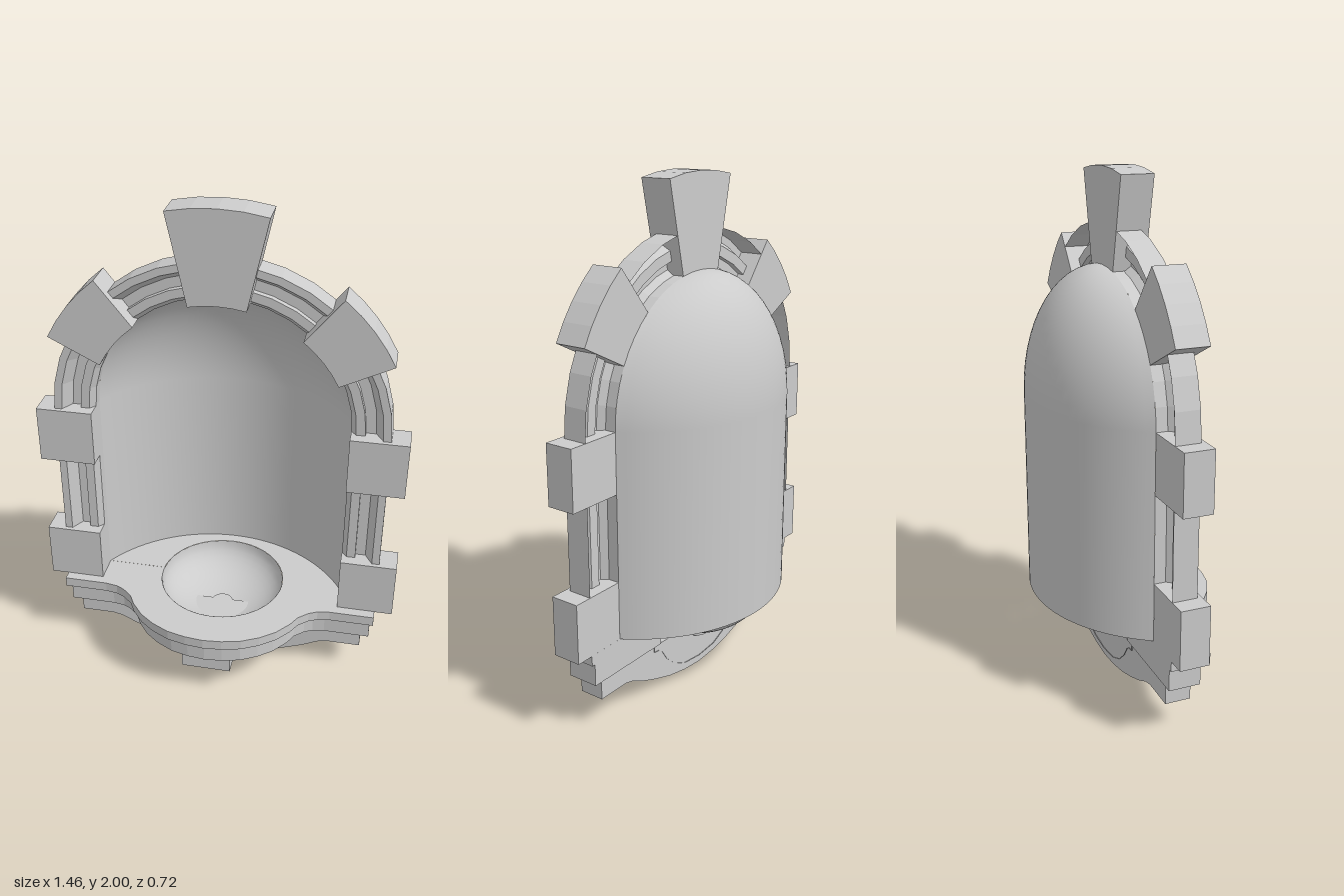
import * as THREE from 'three';

const grey = new THREE.MeshStandardMaterial({ color: 0xcccccc, side: THREE.DoubleSide });
const flat = new THREE.MeshStandardMaterial({ color: 0xcccccc, side: THREE.DoubleSide, flatShading: true });

const SPRING = 1.137, SILL = 0.33, R = 0.505, BACK = -0.065, BOWL_Z = -0.05, BOWL_R = 0.26;

// Surface through rows x cols points given by a function of indices
function gridSurface(rows, cols, point) {
  const pos = [], idx = [];
  for (let i = 0; i < rows; i++) for (let j = 0; j < cols; j++) pos.push(...point(i, j));
  for (let i = 0; i < rows - 1; i++) for (let j = 0; j < cols - 1; j++) {
    const a = i * cols + j, b = a + cols;
    idx.push(a, a + 1, b, b, a + 1, b + 1);
  }
  const g = new THREE.BufferGeometry();
  g.setAttribute('position', new THREE.Float32BufferAttribute(pos, 3));
  g.setIndex(idx);
  g.computeVertexNormals();
  return g;
}

// Shallow circular plan of the niche, u from -1 to 1, scaled by k
function nichePlan(u, k = 1) {
  const a = u * 1.042;
  return [k * 0.585 * Math.sin(a), BACK - k * (0.585 * Math.cos(a) - 0.295)];
}

function extrude(shape, depth) {
  return new THREE.ExtrudeGeometry(shape, { depth, bevelEnabled: false, curveSegments: 24 });
}

// Wedge stone of the arch between two angles measured from +x
function wedge(a0, a1, r0, r1, z1) {
  const s = new THREE.Shape(), n = 4;
  for (let i = 0; i <= n; i++) {
    const a = a0 + (a1 - a0) * i / n;
    s[i ? 'lineTo' : 'moveTo'](r1 * Math.cos(a), r1 * Math.sin(a));
  }
  for (let i = n; i >= 0; i--) {
    const a = a0 + (a1 - a0) * i / n;
    s.lineTo(r0 * Math.cos(a), r0 * Math.sin(a));
  }
  return extrude(s, z1 - BACK).translate(0, SPRING, BACK);
}

// Shelf slab: straight wings, bowed centre and a round cut for the basin
function slab(halfWidth, inset, top, thickness) {
  const half = [[0.48, 0.09], [0.43, 0.098], [0.395, 0.115], [0.355, 0.15], [0.33, 0.195],
    [0.28, 0.255], [0.22, 0.3], [0.15, 0.335], [0.075, 0.353]];
  const k = 1 - inset * 1.5;
  const s = new THREE.Shape();
  s.moveTo(-halfWidth, BACK);
  s.lineTo(-BOWL_R, BACK);
  s.absarc(0, BOWL_Z, BOWL_R, Math.PI + 0.06, -0.06, true);
  s.lineTo(halfWidth, BACK);
  s.lineTo(halfWidth, 0.09 - inset);
  half.forEach(([x, z]) => s.lineTo(x * k, z - inset));
  s.lineTo(0, 0.36 - inset);
  half.slice().reverse().forEach(([x, z]) => s.lineTo(-x * k, z - inset));
  s.lineTo(-halfWidth, 0.09 - inset);
  return extrude(s, thickness).rotateX(Math.PI / 2).translate(0, top, 0);
}

export function createModel() {
  const model = new THREE.Group();
  const add = (name, geometry, material = flat) => {
    const m = new THREE.Mesh(geometry, material);
    m.name = name;
    model.add(m);
    return m;
  };

  // Curved niche wall with its half dome
  const rows = [[SILL, 1]];
  for (let i = 0; i <= 14; i++) {
    const a = i / 14 * Math.PI / 2;
    rows.push([SPRING + R * Math.sin(a), Math.cos(a)]);
  }
  add('nicheShell', gridSurface(rows.length, 33, (i, j) => {
    const [x, z] = nichePlan(j / 16 - 1, rows[i][1]);
    return [x, rows[i][0], z];
  }), grey);

  // Grooved moulding, open at the back, swept up the jambs and round the arch
  const profile = [[0.66, BACK], [0.66, 0.032], [0.63, 0.032], [0.6, -0.02], [0.56, -0.02],
    [0.56, 0.005], [0.525, 0.005], [R, -0.02], [R, BACK]];
  const ARC = 18;
  add('archMoulding', gridSurface(ARC + 3, profile.length, (i, j) => {
    const [r, z] = profile[j];
    if (i === 0) return [r, SILL, z];
    if (i === ARC + 2) return [-r, SILL, z];
    const a = (i - 1) / ARC * Math.PI;
    return [r * Math.cos(a), SPRING + r * Math.sin(a), z];
  }));

  // Keystone, arch stones and jamb blocks
  const up = Math.PI / 2, deg = Math.PI / 180;
  add('keystone', wedge(up - 0.217, up + 0.217, R, 0.863, 0.063));
  for (const side of [1, -1]) {
    const mid = up - side * 51 * deg;
    add(side > 0 ? 'leftArchStone' : 'rightArchStone',
      wedge(mid - 12.3 * deg, mid + 12.3 * deg, R, 0.727, 0.063));
    for (const y of [0.445, 1.021]) {
      const block = add(side > 0 ? 'leftJambBlock' : 'rightJambBlock',
        new THREE.BoxGeometry(0.226, 0.233, 0.115));
      block.position.set(side * 0.618, y, BACK + 0.0575);
    }
  }

  // Stepped shelf
  add('shelfTop', slab(0.66, 0, SILL, 0.042));
  add('shelfLower', slab(0.645, 0.03, 0.288, 0.088));

  // Niche floor behind the shelf, cut round the basin
  const floor = new THREE.Shape();
  for (let i = 0; i <= 32; i++) {
    const [x, z] = nichePlan(i / 16 - 1);
    floor[i ? 'lineTo' : 'moveTo'](x, z);
  }
  floor.lineTo(BOWL_R, BACK);
  floor.absarc(0, BOWL_Z, BOWL_R, -0.06, -Math.PI + 0.06, true);
  add('nicheFloor', new THREE.ShapeGeometry(floor, 24).rotateX(Math.PI / 2).translate(0, SILL, 0));

  // Basin and its drain
  const bowl = [];
  for (let i = 0; i <= 10; i++) {
    const a = i / 10 * Math.PI / 2;
    bowl.push(new THREE.Vector2(BOWL_R * Math.sin(a), SILL - 0.145 * Math.cos(a)));
  }
  add('basin', new THREE.LatheGeometry(bowl, 32), grey).position.z = BOWL_Z;
  add('drain', new THREE.CylinderGeometry(0.045, 0.045, 0.06, 16), grey).position.set(0, 0.17, BOWL_Z);

  // Half-round cup under the shelf
  const cup = [[0, 0.03], [0.1, 0.04], [0.17, 0.07], [0.22, 0.115], [0.25, 0.16], [0.27, 0.175],
    [0.3, 0.178], [0.3, 0.2]].map(([r, y]) => new THREE.Vector2(r, y));
  add('underCup', new THREE.LatheGeometry(cup, 20, -Math.PI / 2, Math.PI), grey).position.z = BACK;

  // Apron plate with an S-curved lower edge
  const edge = [[0.61, 0.2], [0.61, 0.125], [0.47, 0.125], [0.43, 0.115], [0.37, 0.085],
    [0.29, 0.055], [0.2, 0.027], [0.1, 0.008], [0, 0]];
  const apron = new THREE.Shape([
    ...edge.map(([x, y]) => new THREE.Vector2(x, y)),
    ...edge.slice(0, -1).reverse().map(([x, y]) => new THREE.Vector2(-x, y)),
  ]);
  add('apron', extrude(apron, 0.1).translate(0, 0, -0.062));

  // Central bracket, curved underneath
  const side = new THREE.Shape([[-0.06, 0.2], [-0.06, 0.008], [0.03, 0.015], [0.09, 0.03], [0.15, 0.06],
    [0.2, 0.1], [0.235, 0.12], [0.3, 0.125], [0.3, 0.2]].map(([z, y]) => new THREE.Vector2(z, y)));
  add('bracket', extrude(side, 0.2).rotateY(-Math.PI / 2).translate(0.1, 0, 0));

  return model;
}
